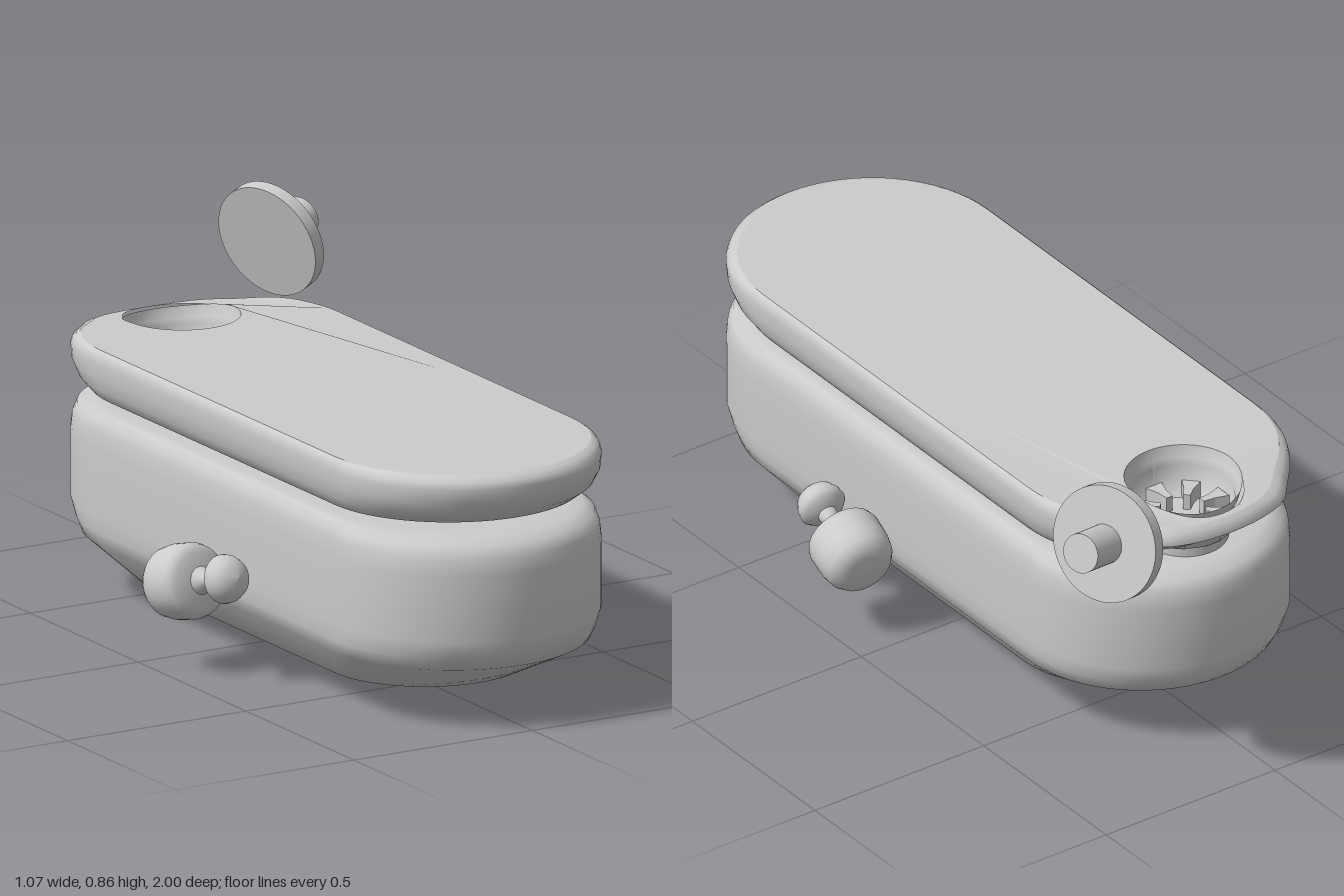
import * as THREE from 'three';

const MID = 0.09;              // z of the hull's centre
const HALF_W = 0.345, STRAIGHT = 0.565;
const WELL = { z: -0.625, r: 0.142 };
const grey = new THREE.MeshStandardMaterial({ color: 0xcccccc });
const greyOpen = new THREE.MeshStandardMaterial({ color: 0xcccccc, side: THREE.DoubleSide });

function mesh(geometry, name, material = grey) {
  const m = new THREE.Mesh(geometry, material);
  m.name = name;
  return m;
}

// Long outline with semicircular ends, relative to the hull's centre
function capsuleOutline(arcSteps = 32, sideSteps = 12) {
  const pts = [];
  for (const end of [1, -1]) {
    for (let i = 0; i <= arcSteps; i++) {
      const a = (i / arcSteps) * Math.PI;
      pts.push([end * HALF_W * Math.cos(a), end * (STRAIGHT + HALF_W * Math.sin(a))]);
    }
    for (let i = 1; i < sideSteps; i++) {
      pts.push([-end * HALF_W, end * STRAIGHT * (1 - 2 * i / sideSteps)]);
    }
  }
  return pts;
}
const outline = capsuleOutline();

// Stacks scaled copies of the outline; each row is [y, scale], bottom to top
function loft(rows) {
  const pos = [], index = [], n = outline.length;
  rows.forEach(([y, s], i) => {
    outline.forEach(([x, z], j) => {
      pos.push(x * s, y, z * s + MID);
      if (i === rows.length - 1) return;
      const a = i * n + j, b = i * n + (j + 1) % n;
      index.push(a, a + n, b, b, a + n, b + n);
    });
  });
  const g = new THREE.BufferGeometry();
  g.setAttribute('position', new THREE.Float32BufferAttribute(pos, 3));
  g.setIndex(index);
  g.computeVertexNormals();
  return g;
}

// Shapes the lid's back: sloping top, scooped underside and a squarer lip
function shapeLidBack(g) {
  const p = g.attributes.position, smooth = THREE.MathUtils.smoothstep;
  for (let i = 0; i < p.count; i++) {
    const x = p.getX(i), y = p.getY(i), z = p.getZ(i);
    if (y > 0.6) p.setY(i, y - 0.03 * smooth(-z, 0.6, 0.84));
    else p.setY(i, y + (0.6 - y) * 0.55 * smooth(-z, 0.62, 0.8));
    const lip = smooth(-z, 0.7, 0.78) * (1 - smooth(Math.abs(x), 0.17, 0.25));
    p.setZ(i, z - lip * 0.35 * Math.max(0, 0.83 + z));
  }
  g.computeVertexNormals();
  return g;
}

// Points a +y built part along a direction
function aim(obj, x, y, z) {
  obj.quaternion.setFromUnitVectors(new THREE.Vector3(0, 1, 0), new THREE.Vector3(x, y, z).normalize());
  return obj;
}

function lathe(points, segments = 40) {
  return new THREE.LatheGeometry(points.map(([r, y]) => new THREE.Vector2(r, y)), segments);
}

function createLid() {
  const lid = new THREE.Group();
  lid.name = 'lid';
  const top = 0.645, edge = 0.96;
  lid.add(mesh(shapeLidBack(loft([
    [0.493, 0], [0.494, 0.75], [0.502, 0.84], [0.518, 0.925], [0.545, 0.97],
    [0.58, 0.995], [0.615, 1], [0.63, 0.993], [0.64, 0.978], [top, edge],
  ])), 'lidShell'));

  // Deck with the round opening
  const deck = new THREE.Shape(outline.map(([x, z]) => new THREE.Vector2(x * edge, -(z * edge + MID))));
  const hole = new THREE.Path();
  hole.absarc(0, -WELL.z, WELL.r, 0, Math.PI * 2, true);
  deck.holes.push(hole);
  const deckGeo = new THREE.ShapeGeometry(deck, 32).rotateX(-Math.PI / 2).translate(0, top, 0);
  lid.add(mesh(shapeLidBack(deckGeo), 'deck', greyOpen));

  // Stepped cup below the opening
  const cup = lathe([[0, 0.515], [0.122, 0.515], [0.124, 0.6], [0.135, 0.615], [WELL.r, top]], 64)
    .translate(0, 0, WELL.z);
  const p = cup.attributes.position;
  for (let i = 0; i < p.count; i++) {
    if (p.getY(i) > 0.6) p.setY(i, p.getY(i) - 0.03 * THREE.MathUtils.smoothstep(-p.getZ(i), 0.6, 0.84));
  }
  cup.computeVertexNormals();
  lid.add(mesh(cup, 'well', greyOpen));

  // Ring of eight flared teeth on the cup's floor
  const tooth = new THREE.Shape([[0.055, -0.009], [0.085, -0.012], [0.12, -0.023],
    [0.12, 0.023], [0.085, 0.012], [0.055, 0.009]].map(([x, y]) => new THREE.Vector2(x, y)));
  const toothGeo = new THREE.ExtrudeGeometry(tooth, { depth: 0.045, bevelEnabled: false })
    .rotateX(-Math.PI / 2);
  for (let i = 0; i < 8; i++) {
    const t = mesh(toothGeo, 'wellTooth');
    t.position.set(0, 0.513, WELL.z);
    t.rotation.y = i * Math.PI / 4;
    lid.add(t);
  }

  // Hub that carries the lid on the hull
  const hub = mesh(new THREE.CylinderGeometry(0.11, 0.11, 0.035, 40), 'hub');
  hub.position.set(0, 0.499, WELL.z);
  lid.add(hub);
  return lid;
}

// Side knob: thick rounded drum, thin stem and small mushroom tip
function createKnob() {
  const knob = new THREE.Group();
  knob.add(mesh(lathe([[0, -0.078], [0.045, -0.076], [0.072, -0.066], [0.086, -0.045], [0.092, -0.015],
    [0.093, 0.04], [0.088, 0.056], [0.07, 0.068], [0.03, 0.074], [0, 0.075]]), 'knobDrum'));
  knob.add(mesh(lathe([[0.036, 0.07], [0.028, 0.085], [0.019, 0.095], [0.018, 0.11],
    [0.024, 0.12], [0.024, 0.135]], 24), 'knobStem', greyOpen));
  knob.add(mesh(lathe([[0, 0.13], [0.025, 0.132], [0.05, 0.145], [0.06, 0.158], [0.058, 0.175],
    [0.048, 0.196], [0.03, 0.211], [0, 0.218]]), 'knobTip'));
  return knob;
}

// Loose plug: flat disc with a short peg
function createPlug() {
  const plug = new THREE.Group();
  plug.name = 'plug';
  plug.add(mesh(new THREE.CylinderGeometry(0.145, 0.145, 0.034, 64), 'plugDisc'));
  const peg = mesh(new THREE.CylinderGeometry(0.049, 0.049, 0.115, 40), 'plugPeg');
  peg.position.y = 0.067;
  plug.add(peg);
  plug.position.set(0.392, 0.718, -0.859);
  return aim(plug, 0.9, 0.25, -0.34);
}

export function createModel() {
  const model = new THREE.Group();
  model.name = 'model';

  // Keel-bottomed hull
  model.add(mesh(loft([
    [0.003, 0], [0.062, 0.73], [0.157, 0.958], [0.19, 0.98], [0.235, 1], [0.4, 1],
    [0.44, 0.993], [0.468, 0.975], [0.482, 0.93], [0.487, 0.86], [0.488, 0],
  ]), 'hull'));
  model.add(createLid());

  for (const side of [1, -1]) {
    const knob = createKnob();
    knob.name = side > 0 ? 'leftKnob' : 'rightKnob';
    knob.position.set(side * 0.444, 0.224, 0.115);
    model.add(aim(knob, side * -0.15, 0.26, 1));
  }

  model.add(createPlug());
  return model;
}
